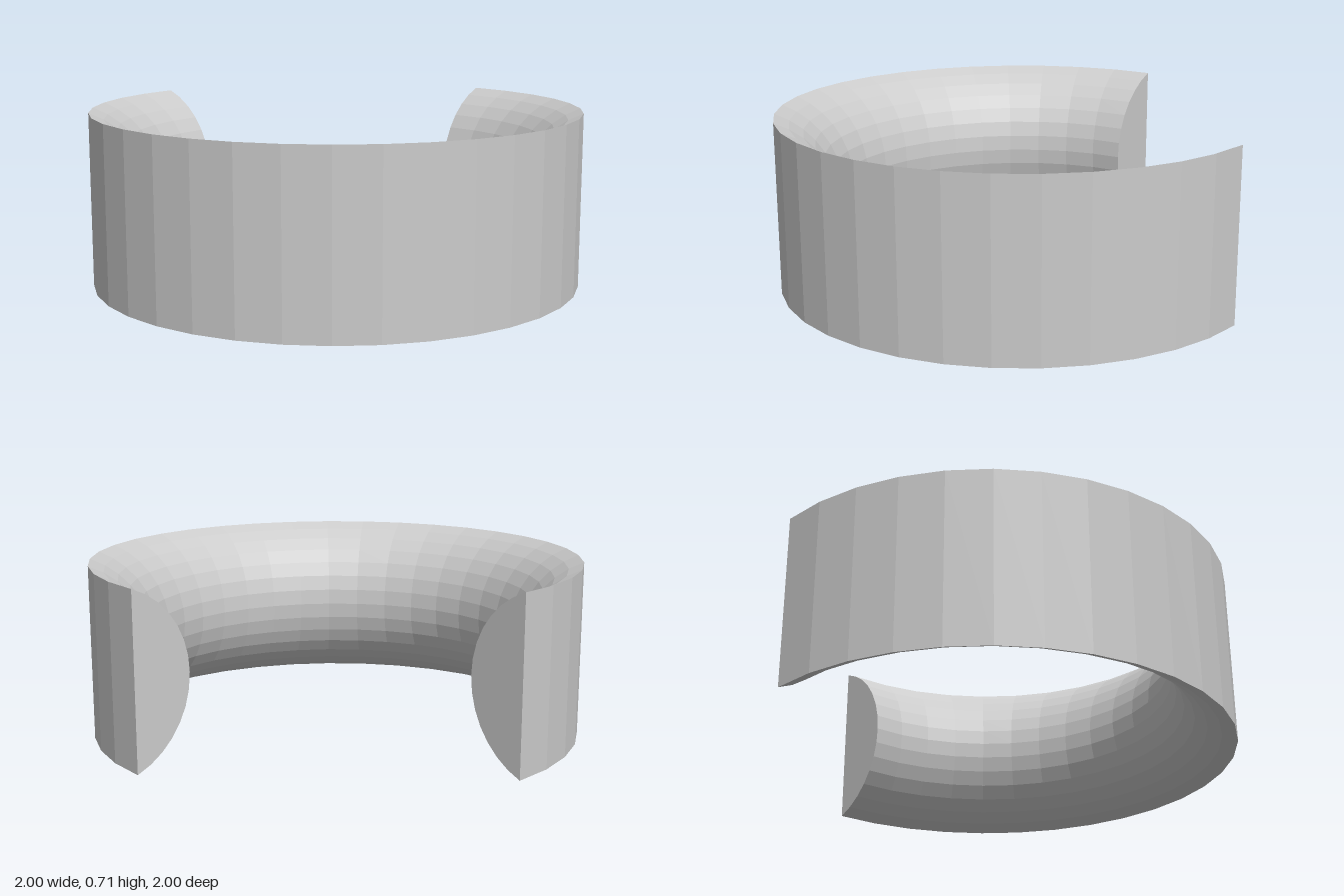
import * as THREE from 'three';

const HEIGHT = 0.706;   // ring height
const OUTER = 1;        // radius of the straight outer wall
const INNER = 0.75;     // radius at the crest of the inner bulge
const ARC_STEPS = 14;
const RING_STEPS = 27;  // 10 degrees each over three quarters of a turn

// Cross-section: straight outer wall, then a circular arc bulging inwards
function sectionPoints() {
  const half = HEIGHT / 2;
  const depth = OUTER - INNER;
  const radius = (half * half + depth * depth) / (2 * depth);
  const spread = Math.asin(half / radius);
  const points = [new THREE.Vector2(OUTER, 0)];
  for (let i = 0; i <= ARC_STEPS; i++) {
    const a = spread * (1 - (2 * i) / ARC_STEPS);
    points.push(new THREE.Vector2(
      INNER + radius * (1 - Math.cos(a)),
      half + radius * Math.sin(a)
    ));
  }
  return points;
}

export function createModel() {
  const group = new THREE.Group();
  group.name = 'openRing';
  const material = new THREE.MeshStandardMaterial({ color: 0xcccccc, flatShading: true });
  const section = sectionPoints();

  const add = (name, geometry) => {
    const mesh = new THREE.Mesh(geometry, material);
    mesh.name = name;
    group.add(mesh);
    return mesh;
  };

  // Three-quarter ring, open in the back left quadrant
  add('ringBody', new THREE.LatheGeometry(section, RING_STEPS, -Math.PI, Math.PI * 1.5));

  // Flat cut faces closing both ends
  const cap = new THREE.ShapeGeometry(new THREE.Shape(section.slice(0, -1)));
  add('backEndCap', cap).rotation.y = Math.PI / 2;
  const leftCap = add('leftEndCap', cap);
  leftCap.rotation.x = Math.PI; // the section is symmetric top to bottom
  leftCap.position.y = HEIGHT;

  return group;
}
